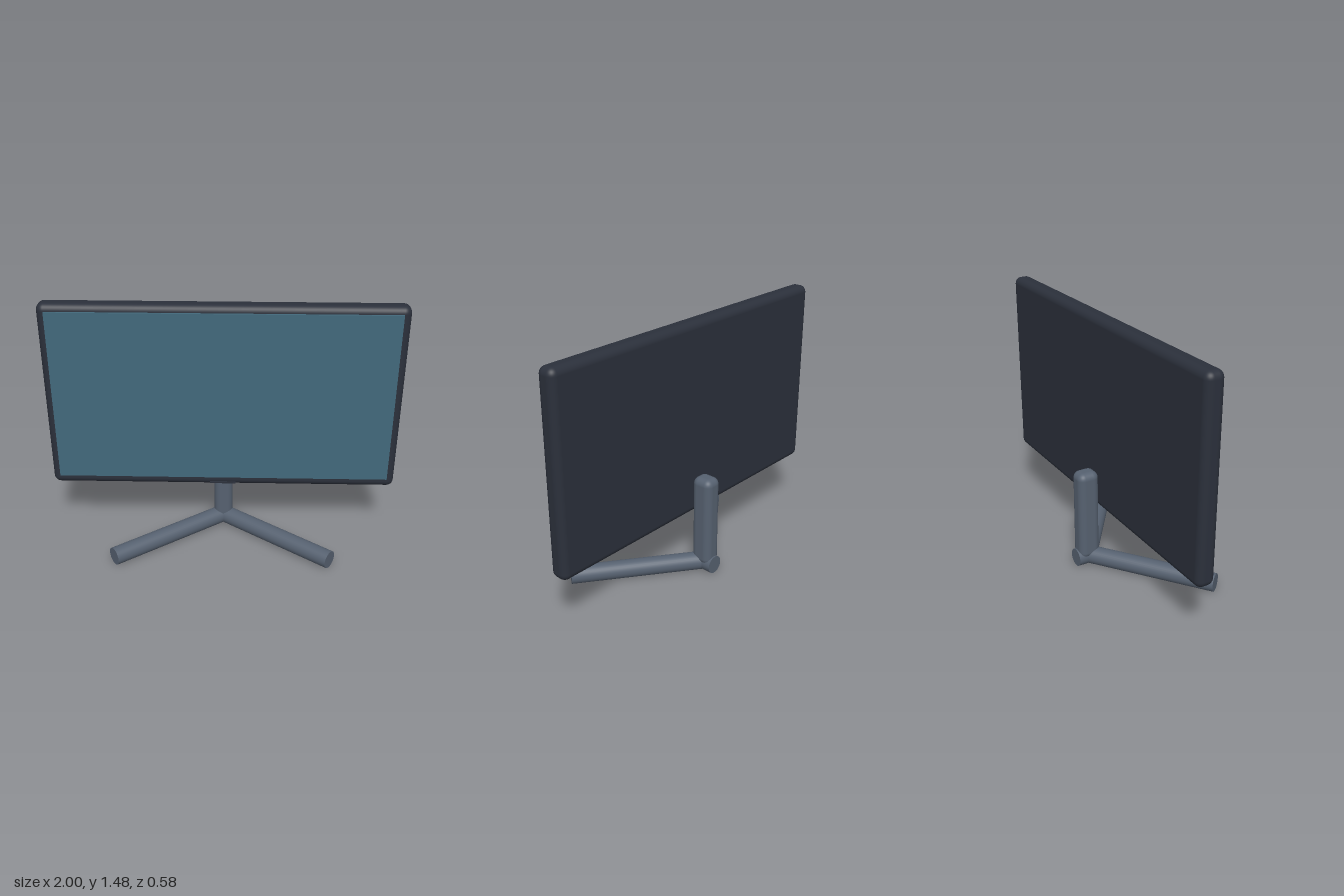
import * as THREE from 'three';
import { RoundedBoxGeometry } from 'three/addons/geometries/RoundedBoxGeometry.js';

export function createModel() {
  const model = new THREE.Group();
  const casing = new THREE.MeshStandardMaterial({ color: 0x2b303b });
  const metal = new THREE.MeshStandardMaterial({ color: 0x566170 });
  const glass = new THREE.MeshStandardMaterial({ color: 0x42697b });

  function add(name, geometry, material, x, y, z) {
    const mesh = new THREE.Mesh(geometry, material);
    mesh.name = name;
    mesh.position.set(x, y, z);
    model.add(mesh);
    return mesh;
  }

  // Display housing, screen and the thin strip below it
  add('housing', new RoundedBoxGeometry(2, 1.115, 0.107, 5, 0.04), casing, 0, 0.918, -0.104);
  add('screen', new THREE.BoxGeometry(1.91, 1.015, 0.014), glass, 0, 0.929, -0.045);
  add('chinStrip', new THREE.BoxGeometry(0.15, 0.008, 0.01), casing, 0, 0.39, -0.036);

  // Upright post behind the housing
  add('post', new RoundedBoxGeometry(0.11, 0.545, 0.127, 5, 0.04), metal, 0, 0.323, -0.221);

  // Two splayed legs and a short rear stub meeting under the post
  const r = 0.052;
  const hub = new THREE.Vector3(0, r, -0.212);
  function addLeg(name, x, z) {
    const end = new THREE.Vector3(x, r, z);
    const along = end.clone().sub(hub);
    const mid = hub.clone().add(end).multiplyScalar(0.5);
    const leg = add(name, new THREE.CylinderGeometry(r, r, along.length(), 32), metal, mid.x, mid.y, mid.z);
    leg.quaternion.setFromUnitVectors(new THREE.Vector3(0, 1, 0), along.normalize());
  }
  addLeg('leftLeg', 0.621, 0.246);
  addLeg('rightLeg', -0.621, 0.246);
  addLeg('rearStub', 0, -0.293);

  return model;
}
